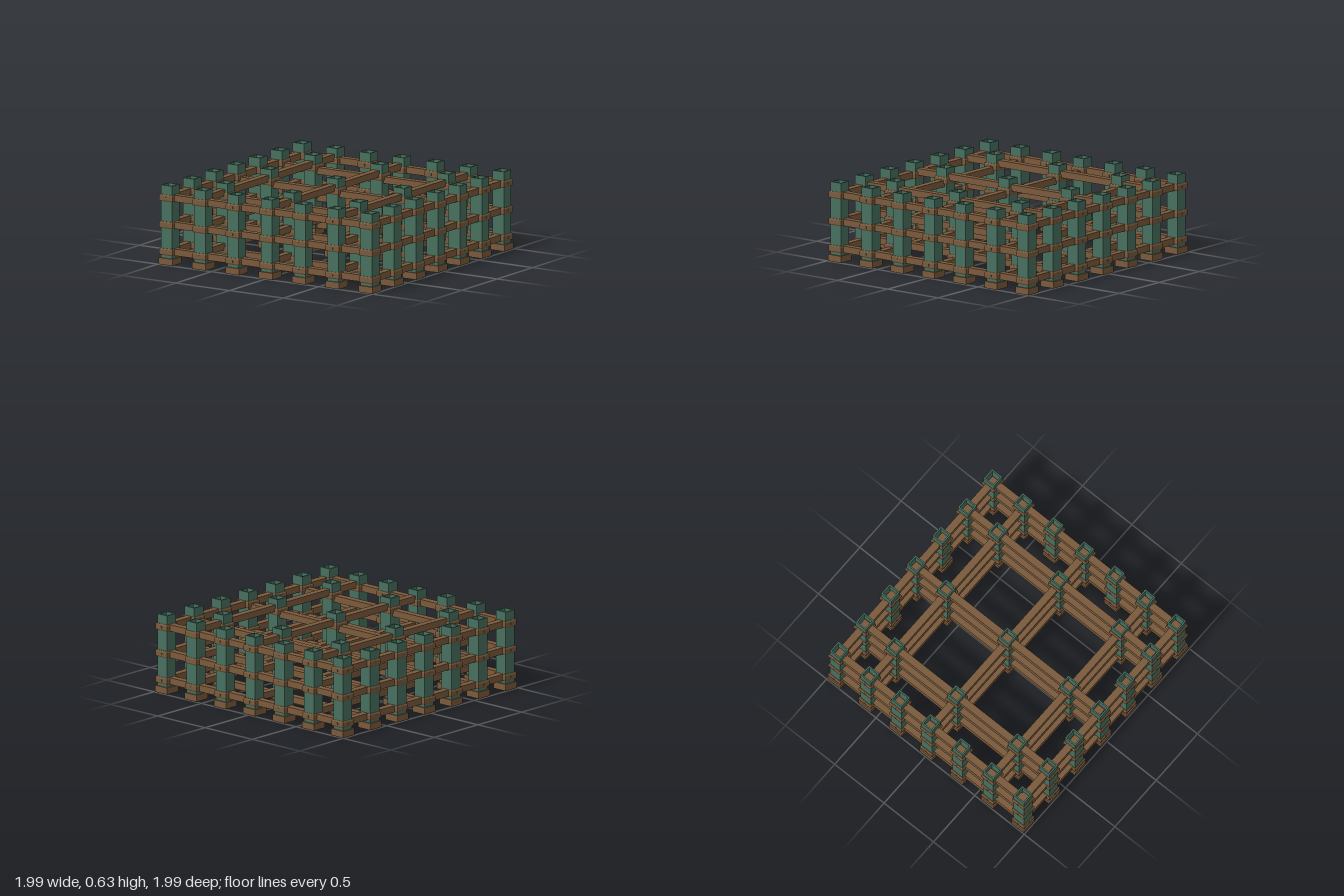
import * as THREE from 'three';

const STEP = 0.31;            // spacing of the post grid
const EDGE = 3 * STEP;        // outer row of posts
const LEVELS = [0.102, 0.316, 0.53];

// Four-sided lathe: profile points are [half width, height]
function squareLathe(profile) {
  const points = profile.map(([h, y]) => new THREE.Vector2(h * Math.SQRT2, y));
  return new THREE.LatheGeometry(points, 4, Math.PI / 4);
}

export function createModel() {
  const model = new THREE.Group();
  const green = new THREE.MeshStandardMaterial({ color: 0x47705f, flatShading: true });
  green.name = 'green post';
  const brown = new THREE.MeshStandardMaterial({ color: 0x7a5a3c, flatShading: true });
  brown.name = 'brown timber';

  const add = (parent, name, geometry, material, x, y, z) => {
    const mesh = new THREE.Mesh(geometry, material);
    mesh.name = name;
    mesh.position.set(x, y, z);
    parent.add(mesh);
    return mesh;
  };

  // Shared parts: hollow post, foot, bevelled collar and bolt
  const tube = squareLathe([[0.052, 0.05], [0.052, 0.63], [0.04, 0.63], [0.04, 0.05]]);
  const foot = new THREE.BoxGeometry(0.128, 0.053, 0.128);
  const collar = squareLathe([
    [0.05, -0.027], [0.056, -0.027], [0.062, -0.018],
    [0.062, 0.018], [0.056, 0.027], [0.05, 0.027],
  ]);
  const bolt = new THREE.BoxGeometry(0.01, 0.018, 0.008);

  function addPost(x, z) {
    const post = new THREE.Group();
    post.name = 'post';
    post.position.set(x, 0, z);
    add(post, 'postTube', tube, green, 0, 0, 0);
    add(post, 'postFoot', foot, brown, 0, 0.0265, 0);
    for (const y of LEVELS) {
      add(post, 'collar', collar, brown, 0, y, 0);
      for (let k = 0; k < 4; k++) {
        const a = k * Math.PI / 2;
        const b = add(post, 'bolt', bolt, green, Math.sin(a) * 0.061, y, Math.cos(a) * 0.061);
        b.rotation.y = a;
      }
    }
    model.add(post);
  }

  // Closely spaced posts around the edge, every second bay inside
  for (let i = -3; i <= 3; i++) {
    for (let j = -3; j <= 3; j++) {
      const onEdge = Math.abs(i) === 3 || Math.abs(j) === 3;
      const inside = i % 2 === 0 && j % 2 === 0;
      if (onEdge || inside) addPost(i * STEP, j * STEP);
    }
  }

  // Rails: outer ring level with the collars, inner rails crossing above and below
  const beamX = new THREE.BoxGeometry(2 * EDGE + 0.05, 0.053, 0.058);
  const beamZ = new THREE.BoxGeometry(0.058, 0.053, 2 * EDGE + 0.05);
  for (const y of LEVELS) {
    for (const p of [-EDGE, EDGE]) {
      add(model, 'edgeRail', beamX, brown, 0, y, p);
      add(model, 'edgeRail', beamZ, brown, p, y, 0);
    }
    for (const p of [-2 * STEP, 0, 2 * STEP]) {
      add(model, 'innerCrossRail', beamX, brown, 0, y - 0.024, p);
      add(model, 'innerLongRail', beamZ, brown, p, y + 0.027, 0);
    }
  }

  return model;
}
